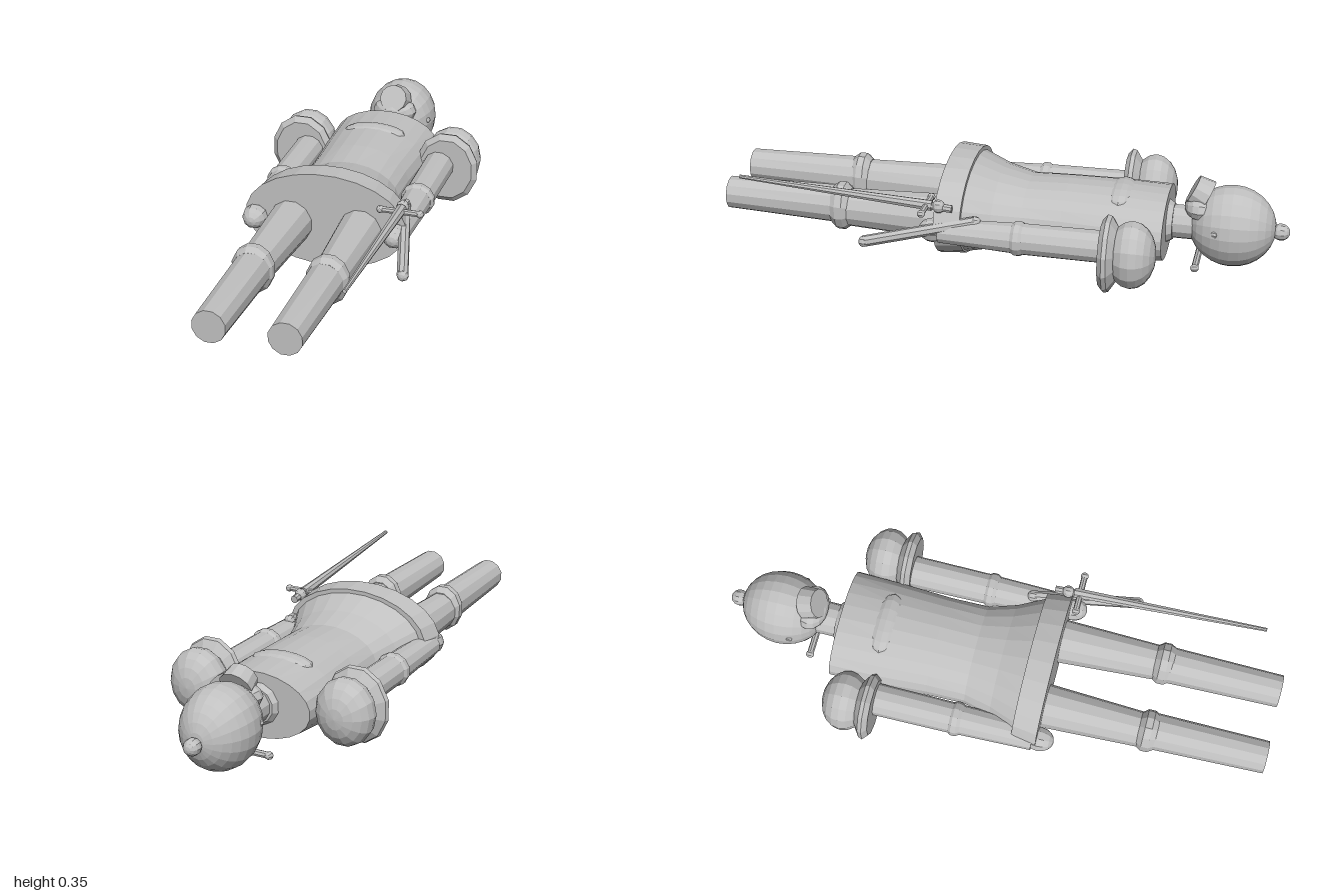
import * as THREE from 'three';

const grey = new THREE.MeshStandardMaterial({ color: 0xc0c0c0, flatShading: true });
grey.name = 'plain grey';

// Closed skin over elliptical rings [z, centreX, centreY, radiusX, radiusY], z ascending
function loft(rings, sides) {
  const pos = [];
  const point = (r, j) => {
    const a = ((j + 0.5) / sides) * Math.PI * 2;
    return [r[1] + r[3] * Math.cos(a), r[2] + r[4] * Math.sin(a), r[0]];
  };
  const first = rings[0], last = rings[rings.length - 1];
  for (let j = 0; j < sides; j++) {
    for (let i = 0; i < rings.length - 1; i++) {
      const a = point(rings[i], j), b = point(rings[i], j + 1);
      const c = point(rings[i + 1], j + 1), d = point(rings[i + 1], j);
      pos.push(...a, ...b, ...c, ...a, ...c, ...d);
    }
    pos.push(first[1], first[2], first[0], ...point(first, j + 1), ...point(first, j));
    pos.push(last[1], last[2], last[0], ...point(last, j), ...point(last, j + 1));
  }
  const g = new THREE.BufferGeometry();
  g.setAttribute('position', new THREE.Float32BufferAttribute(pos, 3));
  g.computeVertexNormals();
  return g;
}

export function createModel() {
  const model = new THREE.Group();
  model.name = 'lyingSoldierDoll';

  const add = (name, geometry, parent = model) => {
    const m = new THREE.Mesh(geometry, grey);
    m.name = name;
    parent.add(m);
    return m;
  };
  // Ellipsoid with its poles along z
  const ball = (name, x, y, z, rx, ry, rz, parent, w = 12, h = 8) => {
    const g = new THREE.SphereGeometry(1, w, h).rotateX(Math.PI / 2);
    g.scale(rx, ry, rz);
    g.translate(x, y, z);
    return add(name, g, parent);
  };
  // Tapered rod between two points
  const rod = (name, from, to, r0, r1, parent, sides = 8) => {
    const a = new THREE.Vector3(...from), b = new THREE.Vector3(...to);
    const dir = b.clone().sub(a);
    const m = add(name, new THREE.CylinderGeometry(r1, r0, dir.length(), sides), parent);
    m.position.copy(a).add(b).multiplyScalar(0.5);
    m.quaternion.setFromUnitVectors(new THREE.Vector3(0, 1, 0), dir.normalize());
    return m;
  };

  // Body with flared coat and hem band
  add('torso', loft([
    [-0.575, 0, 0.155, 0.2, 0.117],
    [-0.4, 0, 0.145, 0.197, 0.135],
    [-0.22, 0, 0.148, 0.186, 0.132],
    [-0.08, 0, 0.153, 0.186, 0.121],
    [0.02, 0, 0.16, 0.215, 0.137],
    [0.12, 0, 0.172, 0.262, 0.163],
    [0.2, 0, 0.175, 0.275, 0.165],
  ], 24));
  add('hemBand', loft([
    [0.115, 0, 0.177, 0.278, 0.17],
    [0.205, 0, 0.177, 0.292, 0.174],
  ], 24));
  ball('chestPlate', 0, 0.25, -0.41, 0.118, 0.036, 0.056, model, 16, 8);

  // Neck and collar
  add('neck', loft([[-0.7, 0, 0.16, 0.06, 0.06], [-0.57, 0, 0.16, 0.06, 0.06]], 12));
  add('collar', loft([[-0.595, 0, 0.16, 0.07, 0.065], [-0.57, 0, 0.16, 0.085, 0.08]], 12));

  // Head with topknot, muzzle, ears and rear bar
  const head = new THREE.Group();
  head.name = 'head';
  model.add(head);
  ball('skull', 0, 0.162, -0.8, 0.13, 0.146, 0.152, head, 20, 14);
  ball('topknot', 0, 0.155, -0.968, 0.03, 0.03, 0.032, head, 10, 8);
  ball('jaw', 0, 0.232, -0.686, 0.085, 0.05, 0.056, head);
  rod('muzzle', [0, 0.265, -0.708], [0, 0.291, -0.657], 0.06, 0.052, head, 12);
  rod('rearBar', [-0.11, 0.037, -0.685], [0.11, 0.037, -0.685], 0.012, 0.012, head);
  for (const s of [-1, 1]) {
    ball('rearBarEnd', s * 0.108, 0.037, -0.685, 0.015, 0.015, 0.015, head, 8, 6);
    ball('ear', s * 0.115, 0.177, -0.748, 0.012, 0.012, 0.012, head, 8, 6);
  }

  for (const s of [-1, 1]) {
    const side = s > 0 ? 'left' : 'right';

    // Arm hanging beside the coat
    const arm = new THREE.Group();
    arm.name = side + 'Arm';
    model.add(arm);
    ball('shoulder', s * 0.285, 0.155, -0.488, 0.106, 0.12, 0.083, arm, 14, 10);
    add('shoulderFrill', loft([
      [-0.438, s * 0.283, 0.15, 0.08, 0.098],
      [-0.415, s * 0.283, 0.15, 0.114, 0.134],
      [-0.4, s * 0.283, 0.15, 0.119, 0.139],
      [-0.383, s * 0.283, 0.15, 0.1, 0.118],
    ], 12), arm);
    add('upperArm', loft([
      [-0.42, s * 0.254, 0.16, 0.058, 0.057],
      [-0.09, s * 0.254, 0.16, 0.055, 0.055],
    ], 12), arm);
    add('elbow', loft([
      [-0.11, s * 0.254, 0.16, 0.054, 0.053],
      [-0.098, s * 0.254, 0.16, 0.062, 0.061],
      [-0.08, s * 0.254, 0.16, 0.062, 0.061],
      [-0.068, s * 0.254, 0.16, 0.054, 0.053],
    ], 12), arm);
    add('forearm', loft([
      [-0.085, s * 0.254, 0.16, 0.054, 0.054],
      [0.19, s * 0.254, 0.162, 0.047, 0.043],
    ], 12), arm);
    ball('hand', s * 0.255, 0.162, 0.212, 0.045, 0.043, 0.053, arm, 10, 8);

    // Leg with knee ring
    const leg = new THREE.Group();
    leg.name = side + 'Leg';
    model.add(leg);
    add('thigh', loft([
      [0.17, s * 0.126, 0.153, 0.08, 0.084],
      [0.57, s * 0.13, 0.158, 0.062, 0.068],
    ], 12), leg);
    add('knee', loft([
      [0.545, s * 0.13, 0.16, 0.06, 0.07],
      [0.565, s * 0.13, 0.162, 0.074, 0.088],
      [0.59, s * 0.13, 0.162, 0.074, 0.088],
      [0.61, s * 0.13, 0.165, 0.062, 0.07],
    ], 12), leg);
    add('shin', loft([
      [0.57, s * 0.128, 0.166, 0.066, 0.069],
      [1.0, s * 0.126, 0.172, 0.058, 0.058],
    ], 12), leg);
  }

  // Baton held in the left hand
  const baton = new THREE.Group();
  baton.name = 'baton';
  model.add(baton);
  rod('batonShaft', [0.25, 0.205, 0.065], [0.345, 0.138, 0.44], 0.02, 0.02, baton);
  ball('batonRearEnd', 0.25, 0.205, 0.065, 0.021, 0.021, 0.021, baton, 8, 6);
  ball('batonFrontEnd', 0.345, 0.138, 0.438, 0.021, 0.021, 0.018, baton, 8, 6);

  // Sword resting on the hem
  const sword = new THREE.Group();
  sword.name = 'sword';
  model.add(sword);
  rod('blade', [0.275, 0.265, 0.21], [0.286, 0.313, 0.9], 0.019, 0.007, sword);
  rod('grip', [0.274, 0.258, 0.14], [0.276, 0.265, 0.23], 0.014, 0.014, sword);
  ball('pommel', 0.274, 0.264, 0.187, 0.022, 0.024, 0.022, sword, 10, 8);
  rod('crossguard', [0.203, 0.265, 0.23], [0.348, 0.265, 0.23], 0.011, 0.011, sword);
  for (const x of [0.206, 0.346]) {
    ball('crossguardEnd', x, 0.265, 0.23, 0.014, 0.014, 0.014, sword, 8, 6);
  }

  return model;
}
